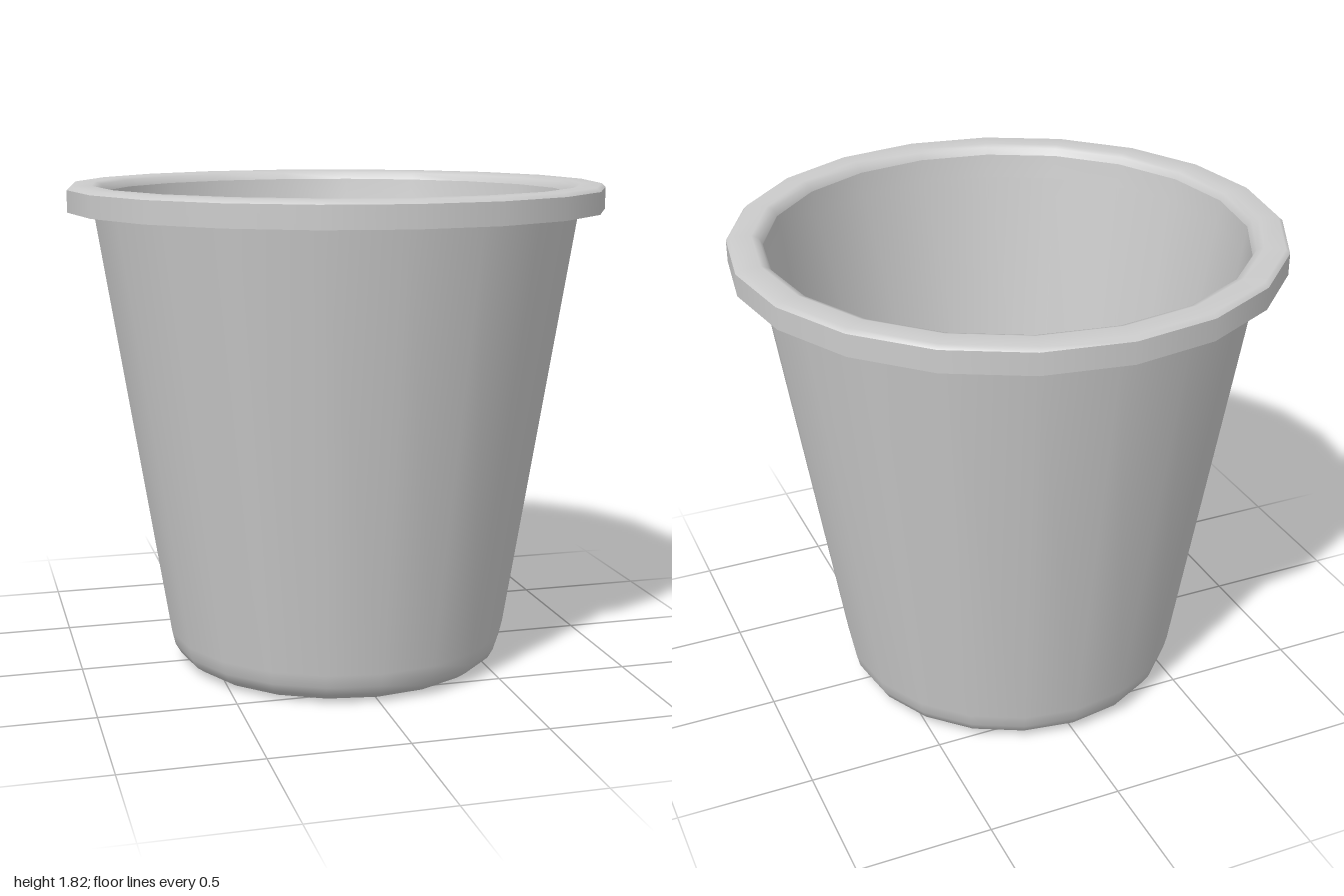
import * as THREE from 'three';

const SIDES = 20;

// Each section is one smooth [radius, height] run; edges between runs stay sharp.
const bodySections = {
  underside: [[0, 0], [0.55, 0]],
  outerWall: [[0.55, 0], [0.585, 0.01], [0.62, 0.035], [0.64, 0.07], [0.652, 0.12], [0.905, 1.73], [0.915, 1.79]],
  innerWall: [[0.872, 1.79], [0.86, 1.7], [0.615, 0.13], [0.602, 0.085], [0.58, 0.055], [0.54, 0.04], [0, 0.04]],
};

// Overhanging rim with a hollow underside
const rimSections = {
  rimRecessTop: [[0.915, 1.79], [0.97, 1.79]],
  rimRecessSide: [[0.97, 1.79], [0.97, 1.73]],
  rimBottomEdge: [[0.97, 1.73], [1, 1.73]],
  rimOuterBand: [[1, 1.73], [1, 1.81]],
  rimTop: [[1, 1.81], [0.985, 1.824], [0.91, 1.824], [0.885, 1.815], [0.872, 1.79]],
};

export function createModel() {
  const material = new THREE.MeshStandardMaterial({ color: 0xcccccc });

  function revolve(name, sections) {
    const group = new THREE.Group();
    group.name = name;
    for (const [part, profile] of Object.entries(sections)) {
      const points = profile.map(([r, y]) => new THREE.Vector2(r, y));
      const mesh = new THREE.Mesh(new THREE.LatheGeometry(points, SIDES), material);
      mesh.name = part;
      group.add(mesh);
    }
    return group;
  }

  const bucket = new THREE.Group();
  bucket.name = 'bucket';
  bucket.add(revolve('body', bodySections), revolve('rim', rimSections));
  return bucket;
}
